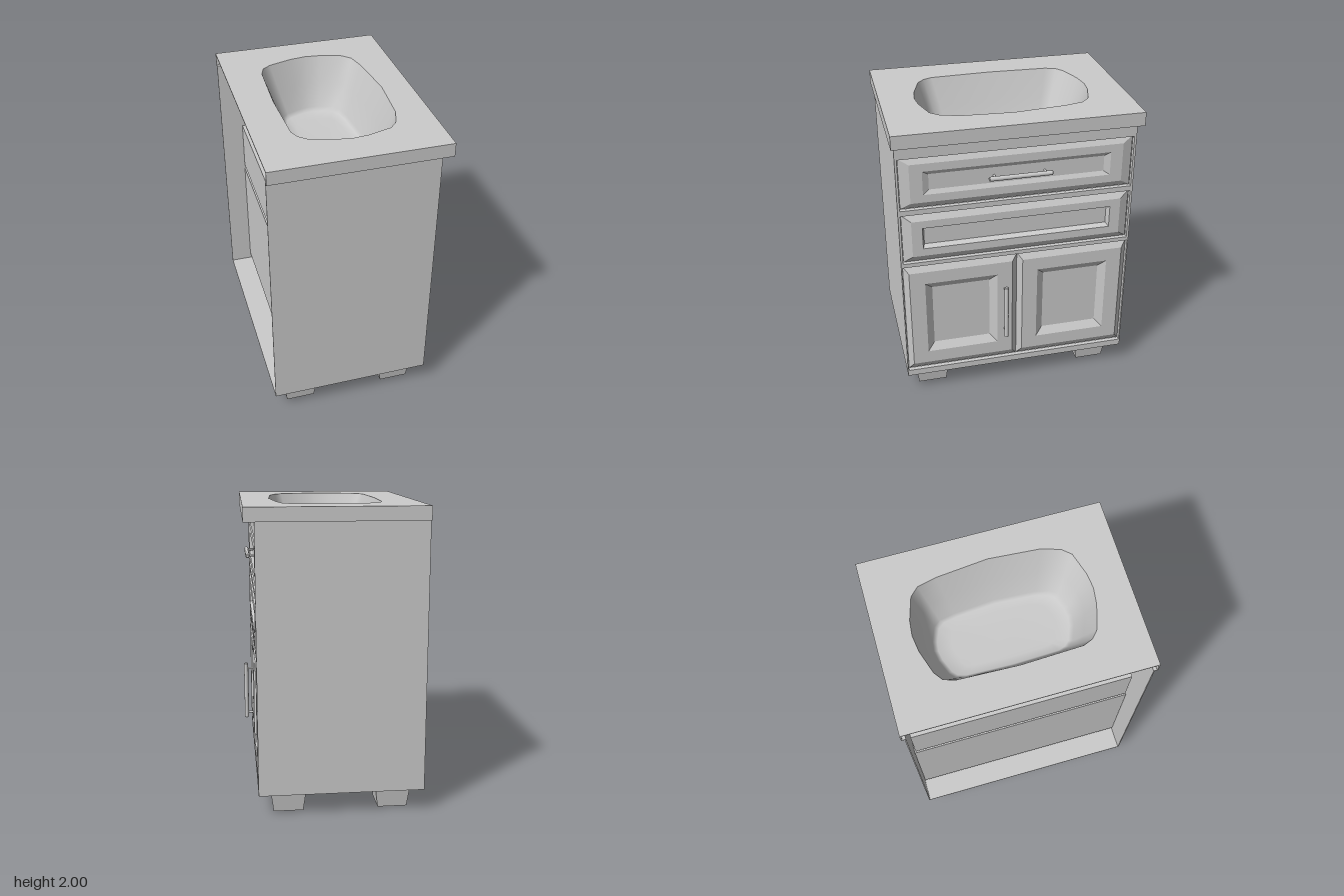
import * as THREE from 'three';

const mat = new THREE.MeshStandardMaterial({ color: 0xcccccc, side: THREE.DoubleSide });

function add(parent, name, geo, x = 0, y = 0, z = 0) {
  const m = new THREE.Mesh(geo, mat);
  m.name = name;
  m.position.set(x, y, z);
  parent.add(m);
  return m;
}

// Box given by its limits
function slab(parent, name, x0, x1, y0, y1, z0, z1) {
  return add(parent, name, new THREE.BoxGeometry(x1 - x0, y1 - y0, z1 - z0),
    (x0 + x1) / 2, (y0 + y1) / 2, (z0 + z1) / 2);
}

// Block with a stepped, bevelled front facing +x; steps are [x, inset in z, inset in y]
function panel(parent, name, [z0, z1, y0, y1], steps) {
  const pos = [], idx = [];
  for (const [x, a, b] of steps) {
    pos.push(x, y0 + b, z1 - a, x, y0 + b, z0 + a, x, y1 - b, z0 + a, x, y1 - b, z1 - a);
  }
  for (let i = 0; i < steps.length - 1; i++) {
    for (let j = 0; j < 4; j++) {
      const a = i * 4 + j, b = i * 4 + (j + 1) % 4;
      idx.push(a, b, b + 4, a, b + 4, a + 4);
    }
  }
  const e = (steps.length - 1) * 4;
  idx.push(0, 2, 1, 0, 3, 2, e, e + 1, e + 2, e, e + 2, e + 3);
  const g = new THREE.BufferGeometry();
  g.setAttribute('position', new THREE.Float32BufferAttribute(pos, 3));
  g.setIndex(idx);
  const flat = g.toNonIndexed();
  flat.computeVertexNormals();
  add(parent, name, flat);
}

// Bar handle on two posts, built upright and turned to lie along z when asked
function handle(parent, name, x, y, z, length, radius, postGap, alongZ) {
  const h = new THREE.Group();
  h.name = name;
  add(h, 'bar', new THREE.CylinderGeometry(radius, radius, length - 0.01, 12));
  for (const s of [-1, 1]) {
    add(h, 'barEnd', new THREE.CylinderGeometry(s > 0 ? radius * 0.6 : radius, s > 0 ? radius : radius * 0.6, 0.006, 12),
      0, s * (length / 2 - 0.003), 0);
    const reach = x - 0.48;
    add(h, 'post', new THREE.CylinderGeometry(0.008, 0.008, reach, 10).rotateZ(Math.PI / 2), -reach / 2, s * postGap / 2, 0);
  }
  if (alongZ) h.rotation.x = Math.PI / 2;
  h.position.set(x, y, z);
  parent.add(h);
}

const rectPath = (P, x0, x1, y0, y1) => new P([[x0, y0], [x1, y0], [x1, y1], [x0, y1]].map(p => new THREE.Vector2(...p)));

// Basin rim outline as [x, z]
const rim = [
  [0.01, -0.575], [0.11, -0.565], [0.26, -0.52], [0.315, -0.465], [0.345, -0.34], [0.38, 0], [0.355, 0.34],
  [0.315, 0.46], [0.265, 0.515], [0.11, 0.56], [0.01, 0.57], [-0.1, 0.555], [-0.26, 0.505], [-0.31, 0.46],
  [-0.335, 0.4], [-0.35, 0], [-0.335, -0.4], [-0.31, -0.47], [-0.255, -0.51], [-0.1, -0.56],
];

function basinGeometry() {
  // Rings: x scale, z scale, height
  const rings = [[1, 1, 2], [0.82, 0.9, 1.82], [0.65, 0.81, 1.66], [0.6, 0.76, 1.638], [0.45, 0.6, 1.63], [0, 0, 1.63]];
  const n = rim.length, pos = [], idx = [];
  for (const [sx, sz, y] of rings) {
    for (const [x, z] of rim) pos.push(0.015 + (x - 0.015) * sx, y, z * sz);
  }
  for (let i = 0; i < rings.length - 1; i++) {
    for (let j = 0; j < n; j++) {
      const a = i * n + j, b = i * n + (j + 1) % n;
      idx.push(a, a + n, b, b, a + n, b + n);
    }
  }
  const g = new THREE.BufferGeometry();
  g.setAttribute('position', new THREE.Float32BufferAttribute(pos, 3));
  g.setIndex(idx);
  g.computeVertexNormals();
  return g;
}

export function createModel() {
  const model = new THREE.Group();
  model.name = 'washstandCabinet';

  // Carcass, open at the back (-x)
  const body = new THREE.Group();
  body.name = 'carcass';
  model.add(body);
  for (const s of [-1, 1]) {
    slab(body, 'sidePanel', -0.58, 0.475, 0.15, 1.91, s > 0 ? 0.767 : -0.775, s > 0 ? 0.775 : -0.767);
  }
  slab(body, 'floor', -0.58, 0.475, 0.15, 0.158, -0.767, 0.767);

  // Face frame with openings for drawers and doors
  const frame = rectPath(THREE.Shape, -0.775, 0.775, 0.15, 1.91);
  frame.holes.push(
    rectPath(THREE.Path, -0.76, 0.76, 1.458, 1.812),
    rectPath(THREE.Path, -0.76, 0.76, 1.068, 1.422),
    rectPath(THREE.Path, -0.767, 0.767, 0.196, 1.04));
  add(body, 'faceFrame',
    new THREE.ExtrudeGeometry(frame, { depth: 0.03, bevelEnabled: false }).rotateY(Math.PI / 2), 0.475);

  // Drawers and doors
  panel(model, 'upperDrawer', [-0.755, 0.755, 1.463, 1.81],
    [[0.455, 0, 0], [0.482, 0, 0], [0.503, 0.065, 0.04], [0.503, 0.145, 0.093], [0.488, 0.185, 0.12]]);
  panel(model, 'lowerDrawer', [-0.755, 0.755, 1.072, 1.418],
    [[-0.43, 0, 0], [0.482, 0, 0], [0.508, 0.06, 0.045], [0.508, 0.13, 0.098], [0.47, 0.143, 0.112]]);
  for (const [name, z0, z1] of [['leftDoor', 0, 0.764], ['rightDoor', -0.764, 0]]) {
    panel(model, name, [z0, z1, 0.203, 1.036],
      [[-0.43, 0, 0], [0.482, 0, 0], [0.508, 0.035, 0.047], [0.508, 0.138, 0.138], [0.475, 0.188, 0.19]]);
  }
  handle(model, 'drawerHandle', 0.535, 1.633, -0.01, 0.415, 0.015, 0.33, true);
  handle(model, 'doorHandle', 0.556, 0.615, 0.086, 0.41, 0.015, 0.33, false);

  // Countertop: holed top, skirts on three sides and the lip under them
  const counter = new THREE.Group();
  counter.name = 'countertop';
  model.add(counter);
  const top = rectPath(THREE.Shape, -0.58, 0.572, -0.797, 0.797);
  top.holes.push(new THREE.Path(rim.map(([x, z]) => new THREE.Vector2(x, -z))));
  add(counter, 'counterSurface',
    new THREE.ExtrudeGeometry(top, { depth: 0.008, bevelEnabled: false }).rotateX(-Math.PI / 2), 0, 1.992);
  slab(counter, 'frontSkirt', 0.564, 0.572, 1.91, 1.992, -0.797, 0.797);
  slab(counter, 'frontLip', 0.497, 0.564, 1.91, 1.916, -0.789, 0.789);
  for (const s of [-1, 1]) {
    add(counter, 'sideSkirt', new THREE.BoxGeometry(1.144, 0.082, 0.008), -0.008, 1.951, s * 0.793);
    add(counter, 'sideLip', new THREE.BoxGeometry(1.077, 0.006, 0.022), -0.0415, 1.913, s * 0.778);
  }
  add(counter, 'basin', basinGeometry());

  // Tapered hollow feet, open underneath
  for (const x of [-0.385, 0.308]) {
    for (const z of [-0.578, 0.592]) {
      const r = Math.SQRT1_2;
      const g = new THREE.CylinderGeometry(0.235 * r, 0.195 * r, 0.15, 4, 1, true).rotateY(Math.PI / 4).toNonIndexed();
      g.computeVertexNormals();
      add(model, 'foot', g, x, 0.075, z);
    }
  }
  return model;
}
